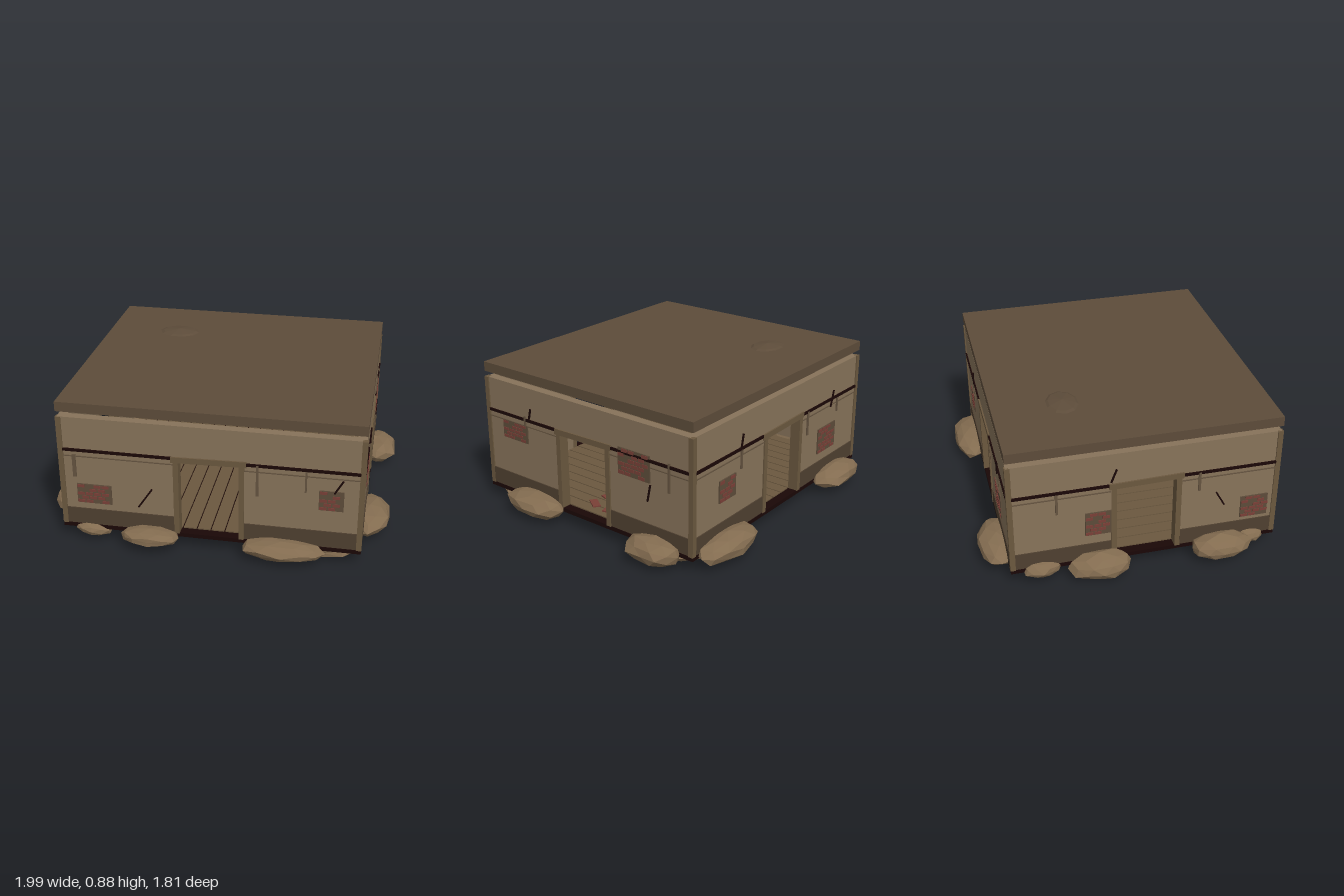
import * as THREE from 'three';

const mat = (name, color, opts = {}) => {
  const m = new THREE.MeshStandardMaterial({ color, ...opts });
  m.name = name;
  return m;
};

export function createModel() {
  const root = new THREE.Group();
  root.name = 'mudHouse';
  const M = {
    wall: mat('mud wall', 0x87735a),
    roof: mat('roof', 0x5d4c3a, { flatShading: true }),
    trim: mat('dark plaster', 0x4f4030),
    frame: mat('timber', 0x6b583f),
    dark: mat('charred base', 0x1a0706),
    rock: mat('rock', 0x836c50, { flatShading: true }),
    brick: mat('brick', 0x7a4037),
    stain: mat('stain', 0x655440),
    pale: mat('pale mark', 0x9a8668),
  };

  const add = (parent, name, geo, m, x = 0, y = 0, z = 0) => {
    const mesh = new THREE.Mesh(geo, m);
    mesh.name = name;
    mesh.position.set(x, y, z);
    parent.add(mesh);
    return mesh;
  };
  const box = (parent, name, m, w, h, d, x, y, z) =>
    add(parent, name, new THREE.BoxGeometry(w, h, d), m, x, y, z);

  // Exposed brick patch: dark recess with rows of staggered bricks
  const patch = (g, x, y, w, h, D) => {
    const p = new THREE.Group();
    p.name = 'brickPatch';
    p.position.set(x, y, D);
    g.add(p);
    box(p, 'mortar', M.stain === undefined ? M.trim : M.roof, w, h, 0.008, 0, 0, 0.003);
    const rows = Math.round(h / 0.024), rh = h / rows, bw = 0.047;
    for (let r = 0; r < rows; r++) {
      const start = -w / 2 + (r % 2 ? bw / 2 : 0);
      for (let k = 0; start + (k + 1) * bw <= w / 2 + 0.005; k++) {
        if ((r * 3 + k * 2) % 5 === 4) continue;
        box(p, 'brick', M.brick, bw - 0.007, rh - 0.007, 0.008,
          start + (k + 0.5) * bw, -h / 2 + (r + 0.5) * rh, 0.006);
      }
    }
  };

  // One side of the house, built facing +z: half width, distance, shape half width
  const side = (name, half, D, wallHalf, rot, d) => {
    const g = new THREE.Group();
    g.name = name;
    g.rotation.y = rot;
    root.add(g);
    const s = new THREE.Shape([
      [-wallHalf, 0.1], [-0.17, 0.1], [-0.17, 0.56], [0.17, 0.56], [0.17, 0.1],
      [wallHalf, 0.1], [wallHalf, 0.775], [-wallHalf, 0.775],
    ].map(([x, y]) => new THREE.Vector2(x, y)));
    add(g, 'wall', new THREE.ExtrudeGeometry(s, { depth: 0.05, bevelEnabled: false }), M.wall, 0, 0, D - 0.05);
    const len = half - 0.2, mid = (half + 0.2) / 2;
    for (const k of [-1, 1]) {
      box(g, 'skirting', M.trim, len, 0.1, 0.008, k * mid, 0.155, D + 0.002);
      box(g, 'stripe', M.dark, len, 0.016, 0.009, k * mid, 0.577, D + 0.004);
      box(g, 'ledgeLine', M.stain, len, 0.006, 0.008, k * mid, 0.538, D + 0.001);
      box(g, 'doorPost', M.frame, 0.03, 0.46, 0.062, k * 0.183, 0.33, D - 0.022);
    }
    box(g, 'lintel', M.frame, 0.42, 0.034, 0.062, 0, 0.573, D - 0.022).rotation.z = 0.02;
    // Hanging boards face the doorway
    const board = add(g, 'doorBoard', new THREE.PlaneGeometry(0.3, 0.05), M.frame, 0, 0.52, D + 0.06);
    const mark = add(g, 'boardMark', new THREE.PlaneGeometry(0.1, 0.02), M.pale, 0, 0.52, D + 0.058);
    board.rotation.y = mark.rotation.y = Math.PI;
    for (const p of d.patches) patch(g, ...p, D);
    for (const [x, y0, y1, w] of d.drips)
      box(g, 'drip', M.stain, w, y1 - y0, 0.008, x, (y0 + y1) / 2, D + 0.006);
    for (const [x0, y0, x1, y1] of d.cracks) {
      const c = box(g, 'crack', M.dark, Math.hypot(x1 - x0, y1 - y0), 0.009, 0.008,
        (x0 + x1) / 2, (y0 + y1) / 2, D + 0.008);
      c.rotation.z = Math.atan2(y1 - y0, x1 - x0);
    }
  };

  side('frontSide', 0.825, 0.76, 0.845, 0, {
    patches: [[-0.655, 0.305, 0.2, 0.12], [0.675, 0.4, 0.135, 0.12]],
    drips: [[-0.762, 0.41, 0.55, 0.02], [0.27, 0.39, 0.58, 0.014], [0.535, 0.44, 0.57, 0.01]],
    cracks: [[-0.4, 0.25, -0.32, 0.37], [0.69, 0.45, 0.735, 0.53]],
  });
  side('rightSide', 0.74, 0.845, 0.71, Math.PI / 2, {
    patches: [[-0.53, 0.485, 0.2, 0.11], [0.37, 0.525, 0.22, 0.155]],
    drips: [[-0.445, 0.54, 0.6, 0.014], [0.61, 0.43, 0.6, 0.014]],
    cracks: [[-0.41, 0.59, -0.395, 0.655], [0.465, 0.34, 0.485, 0.44]],
  });
  side('backSide', 0.825, 0.76, 0.845, Math.PI, {
    patches: [[-0.545, 0.39, 0.15, 0.13], [0.49, 0.34, 0.2, 0.16]],
    drips: [[-0.42, 0.46, 0.57, 0.014], [0.26, 0.43, 0.58, 0.014], [0.6, 0.48, 0.57, 0.012]],
    cracks: [[-0.43, 0.57, -0.41, 0.66], [0.52, 0.53, 0.55, 0.63]],
  });
  side('leftSide', 0.74, 0.845, 0.71, -Math.PI / 2, {
    patches: [[-0.27, 0.34, 0.15, 0.15], [0.63, 0.3, 0.16, 0.14]],
    drips: [[-0.5, 0.44, 0.57, 0.014], [0.3, 0.46, 0.58, 0.014]],
    cracks: [[-0.2, 0.6, -0.17, 0.68], [0.45, 0.34, 0.4, 0.43]],
  });

  // Corner posts
  for (const x of [-1, 1]) for (const z of [-1, 1])
    box(root, 'cornerPost', M.frame, 0.03, 0.675, 0.03, x * 0.837, 0.4375, z * 0.752);

  // Base, floor planks and fallen bricks
  box(root, 'base', M.dark, 1.7, 0.024, 1.53, 0, 0.09, 0);
  for (let i = 0; i < 20; i++)
    box(root, 'floorPlank', M.frame, 0.073, 0.008, 1.42, -0.76 + i * 0.08, 0.105, 0);
  for (let i = 0; i < 9; i++)
    box(root, 'fallenBrick', M.brick, 0.09, 0.008, 0.045,
      0.45 + (i % 3) * 0.13, 0.113, -0.17 + Math.floor(i / 3) * 0.11).rotation.y = i * 1.3;

  // Roof slab floating just above the walls, with a mound pushing through
  box(root, 'roofSlab', M.roof, 1.7, 0.057, 1.53, 0, 0.8365, 0);
  const mound = add(root, 'mound', new THREE.SphereGeometry(1, 10, 7), M.roof, -0.41, 0.76, -0.37);
  mound.scale.set(0.24, 0.125, 0.18);

  // Faceted boulders around the foot of the walls
  const boulder = (x, y, z, rx, ry, rz, seed) => {
    const g = new THREE.IcosahedronGeometry(1, 1);
    const p = g.attributes.position, v = new THREE.Vector3();
    for (let i = 0; i < p.count; i++) {
      v.fromBufferAttribute(p, i);
      const n = Math.sin(v.x * 5.1 + seed * 2.3) * Math.cos(v.y * 4.3 + seed) * Math.sin(v.z * 4.7 + seed * 1.7);
      v.multiplyScalar(1 + 0.14 * n);
      p.setXYZ(i, v.x * rx, v.y * ry, v.z * rz);
    }
    g.computeVertexNormals();
    add(root, 'boulder', g, M.rock, x, y, z);
  };
  [
    [-0.56, 0.09, -0.8, 0.21, 0.065, 0.11],
    [0.58, 0.09, -0.8, 0.24, 0.07, 0.11],
    [0.875, 0.085, -0.52, 0.122, 0.075, 0.17],
    [0.875, 0.09, 0.36, 0.122, 0.07, 0.21],
    [-0.885, 0.085, -0.27, 0.11, 0.075, 0.18],
    [-0.885, 0.09, 0.43, 0.112, 0.07, 0.18],
    [-0.83, 0.085, -0.59, 0.075, 0.05, 0.11],
    [-0.82, 0.09, 0.62, 0.07, 0.05, 0.09],
    [-0.33, 0.095, 0.81, 0.17, 0.045, 0.09],
    [0.415, 0.085, 0.805, 0.24, 0.055, 0.095],
    [-0.68, 0.07, 0.73, 0.11, 0.045, 0.075],
    [0.66, 0.06, -0.62, 0.2, 0.05, 0.15],
    [0.64, 0.055, 0.63, 0.21, 0.05, 0.14],
    [-0.66, 0.06, -0.6, 0.18, 0.045, 0.15],
    [-0.66, 0.06, 0.58, 0.18, 0.045, 0.16],
  ].forEach((b, i) => boulder(...b, i + 1));

  return root;
}
